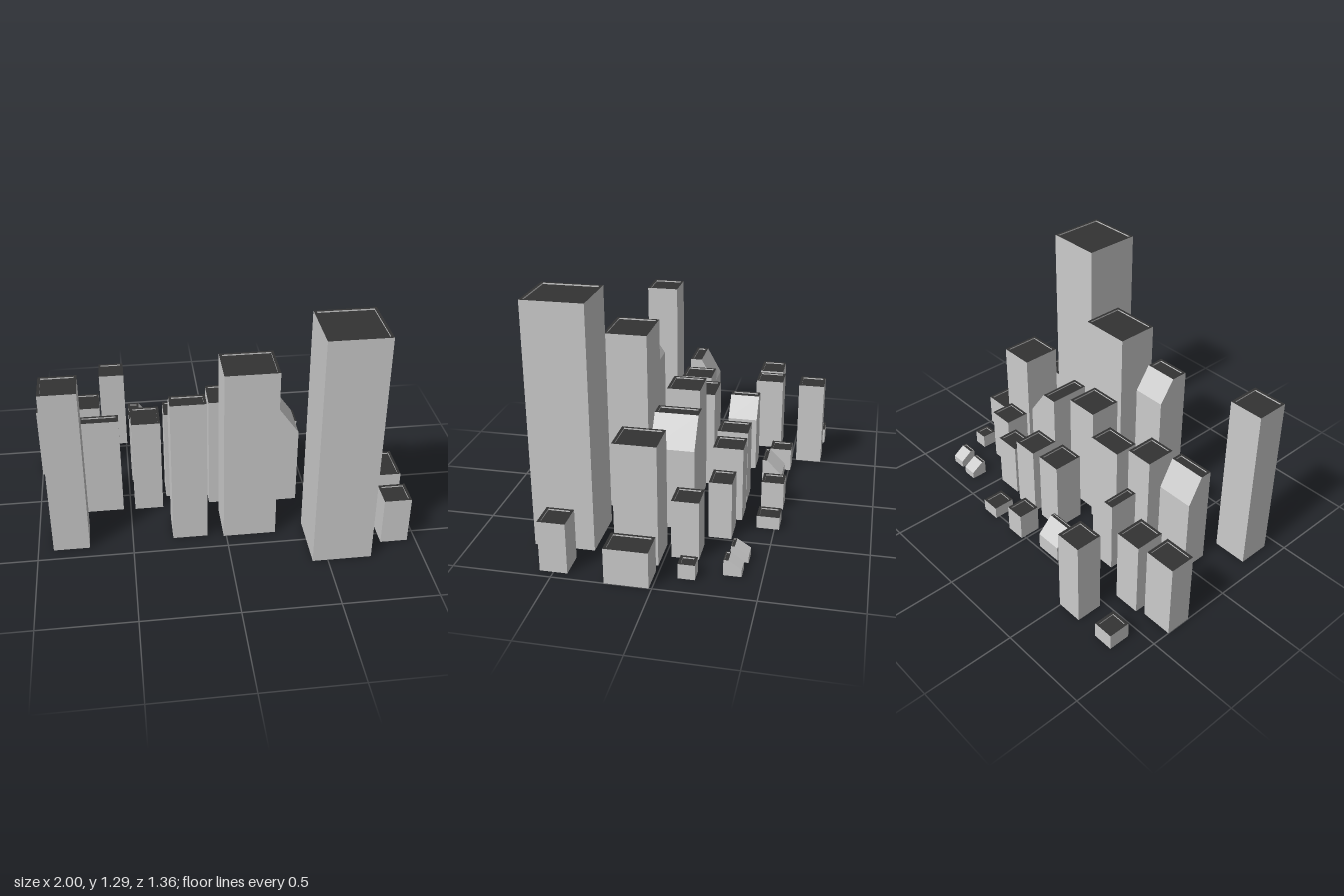
import * as THREE from 'three';

const RECESS = 0.008; // depth of the sunken roof floor
const RIM = 0.014;    // parapet width

// Plain towers: x0, x1, z0, z1, height
const backBlocks = [
  [-0.88, -0.77, -0.68, -0.56, 0.09],
  [-0.64, -0.495, -0.675, -0.53, 0.485],
  [-0.46, -0.35, -0.51, -0.39, 0.13],
  [0.015, 0.125, -0.52, -0.4, 0.155],
  [0.24, 0.345, -0.525, -0.405, 0.07],
  [-1, -0.83, -0.4, -0.26, 0.43],
  [-0.79, -0.645, -0.42, -0.26, 0.435],
  [-0.055, 0.09, -0.315, -0.15, 0.42],
  [0.14, 0.285, -0.32, -0.16, 0.415],
  [0.34, 0.485, -0.295, -0.175, 0.315],
  [0.565, 0.71, -0.17, -0.03, 0.315],
  [0.81, 0.89, -0.185, -0.1, 0.08],
];
const frontBlocks = [
  [-0.475, -0.32, -0.04, 0.13, 0.56],
  [-0.295, -0.095, -0.1, 0.035, 0.55],
  [-0.06, 0.125, -0.06, 0.12, 0.66],
  [0.6, 0.8, 0.015, 0.235, 0.64],
  [0.85, 1, 0.015, 0.235, 0.19],
  [-0.92, -0.73, 0.25, 0.43, 0.955],
  [-0.015, 0.265, 0.19, 0.42, 0.995],
  [0.42, 0.73, 0.36, 0.675, 1.295],
  [0.81, 0.955, 0.43, 0.57, 0.27],
];
// Towers with a chamfered top: as above, plus chamfer start and its low height
const backChamfers = [ // falling towards -z
  [-0.25, -0.1, -0.485, -0.375, 0.175, -0.4, 0.09],
  [0.61, 0.69, -0.415, -0.325, 0.085, -0.345, 0.04],
  [0.74, 0.82, -0.4, -0.31, 0.085, -0.335, 0.04],
  [-0.745, -0.54, -0.02, 0.125, 0.585, 0.06, 0.44],
  [-0.285, -0.1, 0.225, 0.405, 0.835, 0.31, 0.71],
];
const sideChamfers = [ // falling towards +x
  [-0.48, -0.335, -0.305, -0.14, 0.425, -0.42, 0.31],
  [0.23, 0.43, -0.09, 0.14, 0.605, 0.32, 0.45],
];

const wallMat = new THREE.MeshStandardMaterial({ color: 0xcccccc });
const roofMat = new THREE.MeshStandardMaterial({ color: 0x333333 });

const shapeOf = (pts) => new THREE.Shape(pts.map(([x, y]) => new THREE.Vector2(x, y)));
const rect = (a, b, c, d) => [[a, c], [b, c], [b, d], [a, d]];

function part(name, geometry, material) {
  const mesh = new THREE.Mesh(geometry, material);
  mesh.name = name;
  return mesh;
}

// Profile spans u0..u1 and is extruded over w0..w1; an optional chamfer runs from us to u1
function tower(name, u0, u1, w0, w1, h, us = u1, low = h) {
  const group = new THREE.Group();
  group.name = name;
  const floorY = h - RECESS;

  // Walls
  const profile = us < u1
    ? [[u0, 0], [u1, 0], [u1, low], [us, h], [us, floorY], [u0, floorY]]
    : rect(u0, u1, 0, floorY);
  const walls = new THREE.ExtrudeGeometry(shapeOf(profile), { depth: w1 - w0, bevelEnabled: false });
  group.add(part('walls', walls.translate(0, 0, w0), wallMat));

  // Parapet around the flat roof
  const frame = shapeOf(rect(u0, us, -w1, -w0));
  const rim = Math.min(RIM, (us - u0) * 0.2);
  frame.holes.push(shapeOf(rect(u0 + rim, us - rim, -w1 + rim, -w0 - rim)));
  const parapet = new THREE.ExtrudeGeometry(frame, { depth: RECESS, bevelEnabled: false });
  group.add(part('parapet', parapet.rotateX(-Math.PI / 2).translate(0, floorY, 0), [roofMat, wallMat]));

  // Sunken roof floor
  const floor = new THREE.PlaneGeometry(us - u0 - 2 * rim, w1 - w0 - 2 * rim).rotateX(-Math.PI / 2);
  group.add(part('roofFloor', floor.translate((u0 + us) / 2, floorY + 0.001, (w0 + w1) / 2), roofMat));
  return group;
}

export function createModel() {
  const city = new THREE.Group();
  city.name = 'cityBlocks';
  for (const [x0, x1, z0, z1, h] of [...backBlocks, ...frontBlocks]) {
    city.add(tower('flatTower', x0, x1, z0, z1, h));
  }
  for (const [x0, x1, z0, z1, h, split, low] of sideChamfers) {
    city.add(tower('sideChamferTower', x0, x1, z0, z1, h, split, low));
  }
  // Turned a quarter so the profile runs along -z
  for (const [x0, x1, z0, z1, h, split, low] of backChamfers) {
    const t = tower('backChamferTower', -z1, -z0, x0, x1, h, -split, low);
    t.rotation.y = Math.PI / 2;
    city.add(t);
  }
  return city;
}
